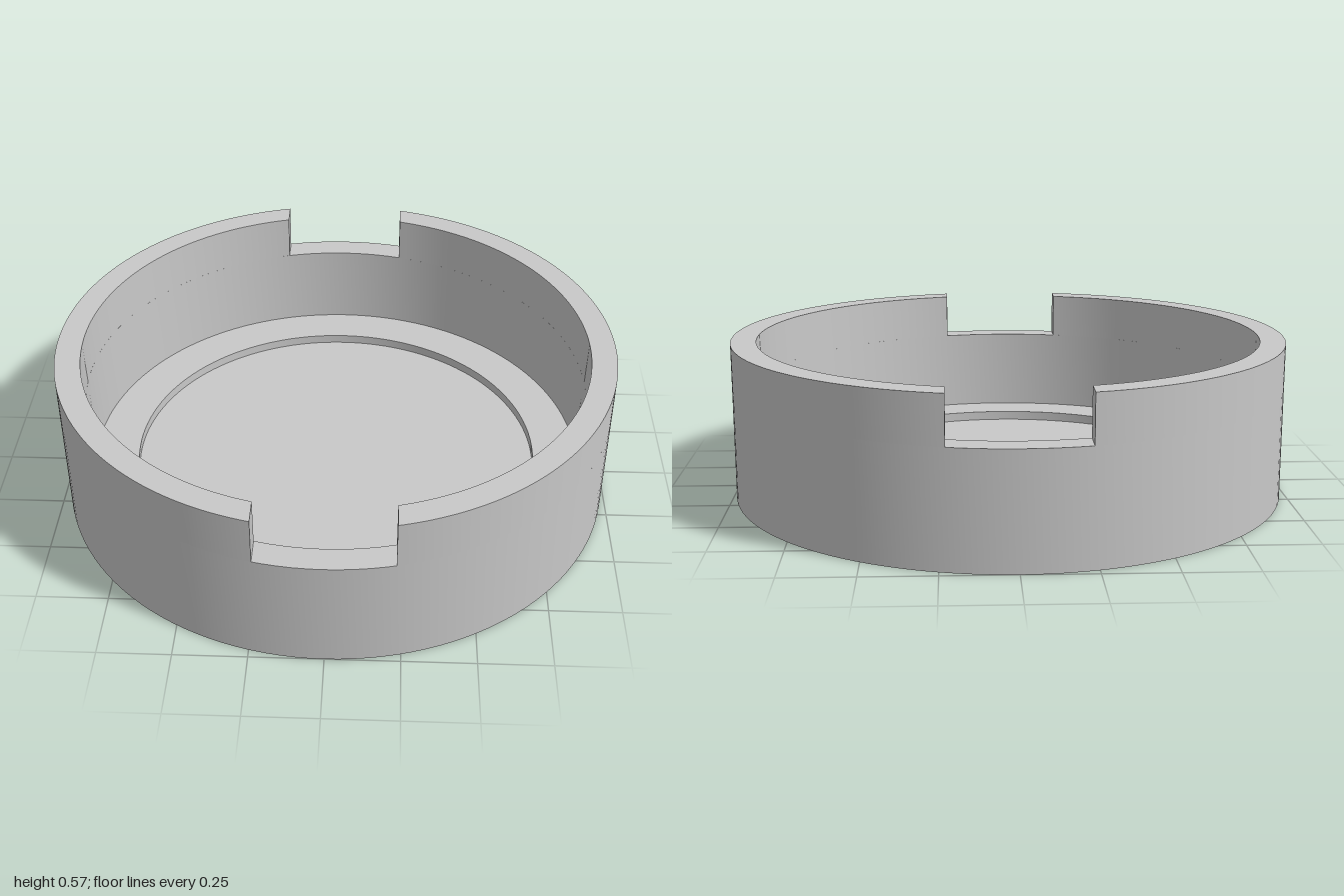
import * as THREE from 'three';
import { toCreasedNormals } from 'three/addons/utils/BufferGeometryUtils.js';

const HEIGHT = 0.567, SILL = 0.4, NOTCH = 0.227; // NOTCH is half the notch width
const INNER_TOP = 0.909, INNER_SILL = 0.906, INNER_FLOOR = 0.9;

export function createModel() {
  const group = new THREE.Group();
  const grey = new THREE.MeshStandardMaterial({ color: 0xc8c8c8 });
  grey.name = 'light grey';

  const add = (name, geometry) => {
    const mesh = new THREE.Mesh(toCreasedNormals(geometry, 0.5), grey);
    mesh.name = name;
    group.add(mesh);
    return mesh;
  };

  // Round dish: base, wall up to the notch sills, ledge and recessed floor
  const profile = [
    [0, 0], [1, 0], [1, SILL], [INNER_SILL, SILL], [INNER_FLOOR, 0.097],
    [0.74, 0.097], [0.74, 0.063], [0, 0.063],
  ].map(([r, y]) => new THREE.Vector2(r, y));
  add('dish', new THREE.LatheGeometry(profile, 128));

  // Upper wall: two curved halves with a straight-sided notch between them
  const outer = Math.acos(NOTCH), inner = Math.acos(NOTCH / INNER_TOP);
  const shape = new THREE.Shape();
  shape.absarc(0, 0, 1, -outer, outer, false);
  shape.absarc(0, 0, INNER_TOP, inner, -inner, true);
  const wall = new THREE.ExtrudeGeometry(shape, {
    depth: HEIGHT - SILL, bevelEnabled: false, curveSegments: 56,
  });
  wall.rotateX(-Math.PI / 2);
  wall.translate(0, SILL, 0);

  // Slight draft on the inner face
  const p = wall.attributes.position;
  for (let i = 0; i < p.count; i++) {
    const x = p.getX(i), z = p.getZ(i);
    if (Math.hypot(x, z) < 0.95 && p.getY(i) < SILL + 0.01) {
      p.setZ(i, z * INNER_SILL / INNER_TOP);
      p.setX(i, Math.max(NOTCH, x * INNER_SILL / INNER_TOP));
    }
  }
  add('leftRimWall', wall);
  add('rightRimWall', wall).rotation.y = Math.PI;

  return group;
}
